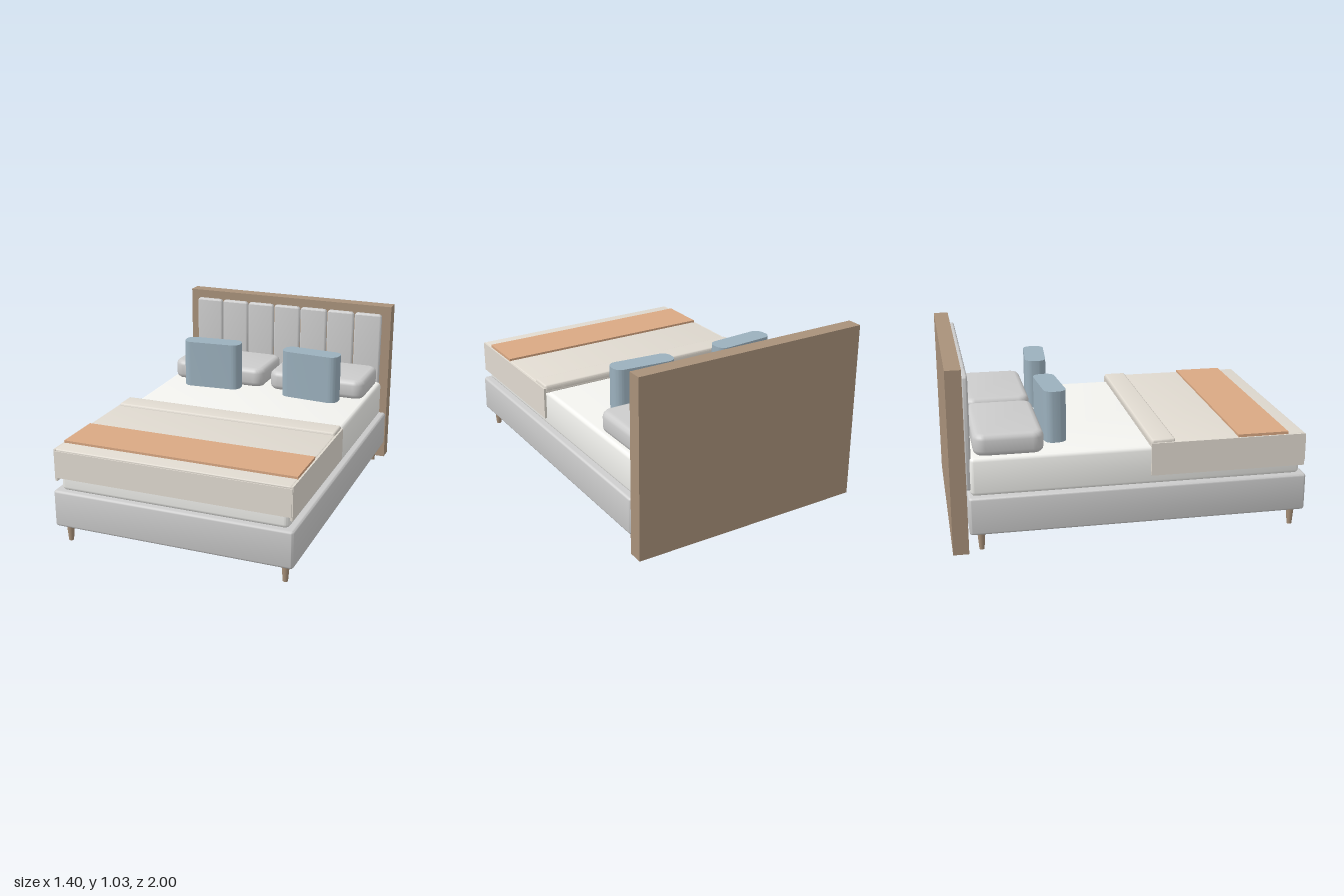
import * as THREE from 'three';
import { toCreasedNormals } from 'three/addons/utils/BufferGeometryUtils.js';

const material = (color) => new THREE.MeshStandardMaterial({ color });

// Rounded-rectangle outline, centred on the origin
function roundedRect(w, h, r) {
  const x = w / 2, y = h / 2, s = new THREE.Shape();
  s.moveTo(-x + r, -y);
  s.lineTo(x - r, -y);
  s.absarc(x - r, -y + r, r, -Math.PI / 2, 0);
  s.lineTo(x, y - r);
  s.absarc(x - r, y - r, r, 0, Math.PI / 2);
  s.lineTo(-x + r, y);
  s.absarc(-x + r, y - r, r, Math.PI / 2, Math.PI);
  s.lineTo(-x, -y + r);
  s.absarc(-x + r, -y + r, r, Math.PI, Math.PI * 1.5);
  return s;
}

// Soft slab lying flat: plan w x d with corner radius r, height h, edge bevel b
function slab(w, h, d, r, b) {
  const geo = new THREE.ExtrudeGeometry(roundedRect(w - 2 * b, d - 2 * b, Math.max(r - b, 0.002)), {
    depth: h - 2 * b, bevelEnabled: b > 0, bevelSize: b, bevelThickness: b,
    bevelSegments: 3, curveSegments: 6,
  });
  geo.translate(0, 0, -(h - 2 * b) / 2);
  geo.rotateX(-Math.PI / 2);
  return toCreasedNormals(geo, 0.6);
}

export function createModel() {
  const bed = new THREE.Group();
  bed.name = 'bed';

  const grey = material(0xcccccc);
  const wood = material(0xa8917a);
  const white = material(0xf3f3ef);
  const linen = material(0xe0dad0);
  const clay = material(0xd9a883);
  const blue = material(0x9bb0bd);

  function add(name, geo, mat, x, y, z) {
    const mesh = new THREE.Mesh(geo, mat);
    mesh.name = name;
    mesh.position.set(x, y, z);
    bed.add(mesh);
    return mesh;
  }

  // Box given by its limits on each axis
  function block(name, mat, [x0, x1], [y0, y1], [z0, z1]) {
    return add(name, new THREE.BoxGeometry(x1 - x0, y1 - y0, z1 - z0), mat,
      (x0 + x1) / 2, (y0 + y1) / 2, (z0 + z1) / 2);
  }

  // Headboard with seven upholstered panels
  block('headboard', wood, [-0.7, 0.7], [0, 1.035], [-1, -0.913]);
  const panelGeo = slab(0.179, 0.034, 0.645, 0.022, 0.012).rotateX(Math.PI / 2);
  for (let i = 0; i < 7; i++) {
    add('headboardPanel', panelGeo, grey, (i - 3) * 0.185, 0.663, -0.897);
  }

  // Base and mattress
  add('bedBase', slab(1.4, 0.215, 1.905, 0.02, 0.014), grey, 0, 0.2125, 0.0475);
  add('mattress', slab(1.33, 0.217, 1.86, 0.03, 0.022), white, 0, 0.4255, 0.04);

  // Tapered legs
  const legGeo = new THREE.CylinderGeometry(0.023, 0.014, 0.11, 16);
  for (const x of [-0.64, 0.64]) {
    for (const z of [-0.84, 0.935]) add('leg', legGeo, wood, x, 0.055, z);
  }

  // Duvet: top layer, folded edge and hanging sides
  add('duvetTop', slab(1.36, 0.034, 0.885, 0.01, 0.008), linen, 0, 0.548, 0.5425);
  add('duvetFold', slab(1.36, 0.046, 0.135, 0.014, 0.012), linen, 0, 0.557, 0.1675);
  block('duvetFront', linen, [-0.685, 0.685], [0.395, 0.553], [0.974, 0.99]);
  for (const s of [-1, 1]) {
    const cx = s * 0.683;
    block('duvetSide', linen, [cx - 0.007, cx + 0.007], [0.375, 0.562], [0.1, 0.985]);
  }

  // Throw across the foot of the bed
  block('throwBlanket', clay, [-0.68, 0.68], [0.556, 0.578], [0.595, 0.885]);

  // Sleeping pillows and upright cushions, mirrored in pairs
  const pillowGeo = slab(0.625, 0.122, 0.385, 0.065, 0.032);
  const cushionGeo = slab(0.37, 0.293, 0.124, 0.05, 0);
  for (const s of [-1, 1]) {
    add('pillow', pillowGeo, grey, s * 0.3325, 0.592, -0.673);
    add('cushion', cushionGeo, blue, s * 0.33, 0.6885, -0.411).rotation.y = -s * 0.08;
  }

  return bed;
}
